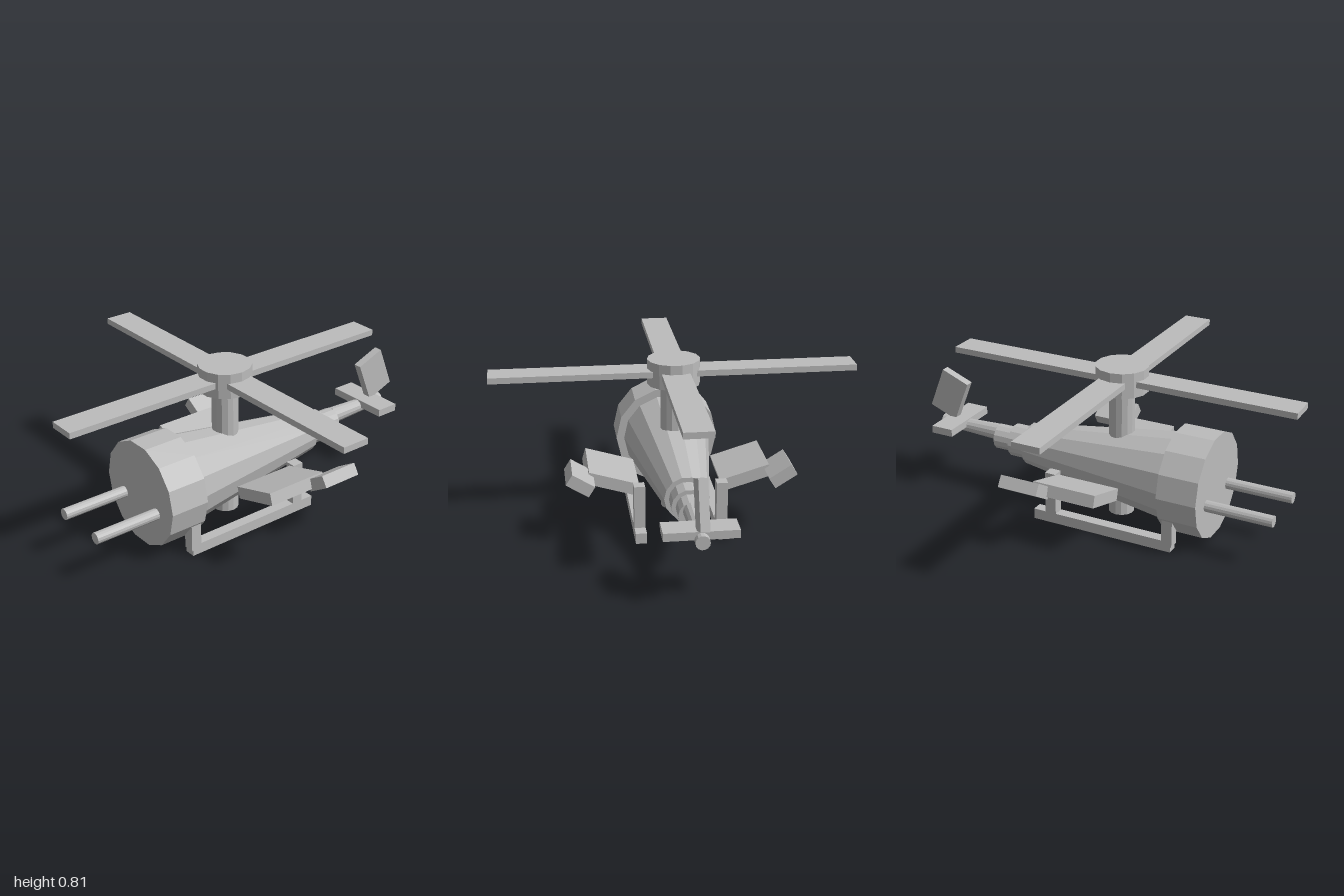
import * as THREE from 'three';

const SIDES = 14;
const AXIS_Y = 0.287; // height of the fuselage axis
const MAST_X = -0.104;

export function createModel() {
  const model = new THREE.Group();
  model.name = 'helicopter';
  const grey = new THREE.MeshStandardMaterial({ color: 0xbcbcbc });
  grey.name = 'plain grey';
  grey.flatShading = true;

  function add(name, geometry, x, y, z) {
    const mesh = new THREE.Mesh(geometry, grey);
    mesh.name = name;
    mesh.position.set(x, y, z);
    model.add(mesh);
    return mesh;
  }
  const box = (name, w, h, d, x, y, z) => add(name, new THREE.BoxGeometry(w, h, d), x, y, z);

  // Round part lying along x, from x0 (radius r0) to x1 (radius r1)
  function tubeX(name, x0, x1, r0, r1, y, z = 0) {
    const geometry = new THREE.CylinderGeometry(r0, r1, x1 - x0, SIDES);
    geometry.rotateZ(Math.PI / 2);
    return add(name, geometry, (x0 + x1) / 2, y, z);
  }

  // Upright round part from y0 to y1
  function tubeY(name, y0, y1, r) {
    return add(name, new THREE.CylinderGeometry(r, r, y1 - y0, SIDES), MAST_X, (y0 + y1) / 2, 0);
  }

  // Fuselage: nose drum, tapered body, stepped collars, tail boom
  tubeX('noseDrum', -0.61, -0.41, 0.262, 0.262, AXIS_Y);
  tubeX('body', -0.41, 0.405, 0.222, 0.106, AXIS_Y);
  tubeX('rearCollar', 0.405, 0.5, 0.084, 0.084, AXIS_Y);
  tubeX('smallCollar', 0.5, 0.595, 0.064, 0.064, AXIS_Y);
  tubeX('tailBoom', 0.595, 0.86, 0.043, 0.032, 0.309);
  tubeX('tailTip', 0.86, 0.93, 0.033, 0.033, 0.311);

  // Tail surfaces
  box('tailplane', 0.118, 0.038, 0.335, 0.836, 0.329, 0);
  const fin = box('tailFin', 0.156, 0.224, 0.042, 0.882, 0.468, 0);
  fin.rotation.z = THREE.MathUtils.degToRad(21.8);

  // Mast runs right through the body; hub and crossed blades on top
  tubeY('mast', 0.034, 0.7, 0.064);
  tubeY('rotorHub', 0.683, 0.808, 0.13);
  box('longRotorBlades', 1.795, 0.03, 0.138, MAST_X + 0.0015, 0.747, 0);
  box('crossRotorBlades', 0.138, 0.03, 1.795, MAST_X, 0.747, 0);

  for (const side of [1, -1]) {
    // Nose barrels
    tubeX('noseBarrel', -0.945, -0.58, 0.028, 0.028, 0.238, side * 0.131);

    // Landing skids and their posts
    box('skid', 0.74, 0.053, 0.054, -0.105, 0.0265, side * 0.2);
    box('frontPost', 0.054, 0.24, 0.054, -0.454, 0.147, side * 0.2);
    box('rearPost', 0.057, 0.24, 0.054, 0.171, 0.147, side * 0.2);

    // Upswept wings with offset tips
    const wing = box('wing', 0.325, 0.06, 0.25, -0.022, 0.264, side * 0.325);
    wing.rotation.x = -side * THREE.MathUtils.degToRad(16.7);
    const tip = box('wingTip', 0.204, 0.06, 0.125, 0.162, 0.313, side * 0.483);
    tip.rotation.x = -side * THREE.MathUtils.degToRad(32);
  }
  return model;
}
